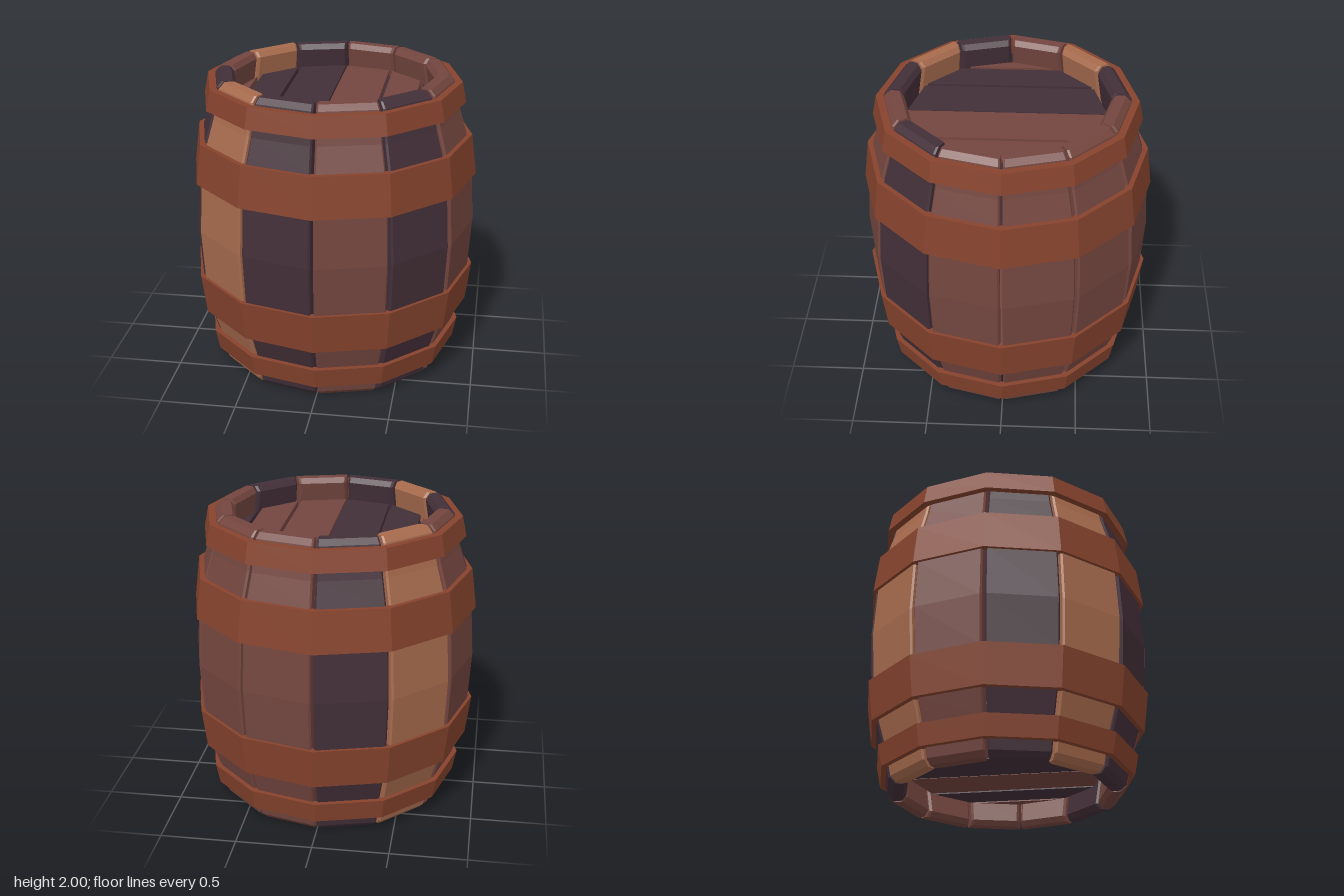
import * as THREE from 'three';

const mat = (name, color) => {
  const m = new THREE.MeshStandardMaterial({ color });
  m.name = name;
  return m;
};

// Facet a geometry so every face is flat
function faceted(geo) {
  const g = geo.index ? geo.toNonIndexed() : geo;
  g.computeVertexNormals();
  return g;
}

// Solid through a stack of equal-length cross-sections, bottom to top
function loft(rings) {
  const pos = [];
  const tri = (...pts) => pts.forEach((p) => pos.push(...p));
  const n = rings[0].length;
  for (let i = 0; i < rings.length - 1; i++) {
    for (let j = 0; j < n; j++) {
      const k = (j + 1) % n;
      const a = rings[i][j], b = rings[i][k], c = rings[i + 1][k], d = rings[i + 1][j];
      tri(a, b, d);
      tri(b, c, d);
    }
  }
  const bottom = rings[0], top = rings[rings.length - 1];
  for (let j = 1; j < n - 1; j++) {
    tri(bottom[0], bottom[j + 1], bottom[j]);
    tri(top[0], top[j], top[j + 1]);
  }
  const g = new THREE.BufferGeometry();
  g.setAttribute('position', new THREE.Float32BufferAttribute(pos, 3));
  return faceted(g);
}

const SIDES = 12;
const HALF = Math.PI / SIDES;

// Bulging stave: [height, outer corner radius, inner corner radius]
const lower = [
  [0, 0.76, 0.69], [0.035, 0.795, 0.665], [0.24, 0.84, 0.7],
  [0.4, 0.89, 0.75], [0.67, 0.935, 0.8],
];
const profile = [
  ...lower, [1, 0.955, 0.82],
  ...lower.map(([y, o, i]) => [2 - y, o, i]).reverse(),
];

function staveGeometry() {
  const gap = 0.009, c = 0.013;
  const halfWidth = (d) => d * Math.tan(HALF) - gap;
  return loft(profile.map(([y, outer, inner]) => {
    const a = outer * Math.cos(HALF), b = inner * Math.cos(HALF);
    const right = [
      [halfWidth(a) - c, a], [halfWidth(a - c), a - c],
      [halfWidth(b + c), b + c], [halfWidth(b) - c, b],
    ];
    const left = right.map(([u, d]) => [-u, d]).reverse();
    return [...right, ...left].map(([u, d]) => [u, y, d]);
  }));
}

// Closed twelve-sided band
function hoopGeometry(y0, r0, y1, r1, thick) {
  const pts = [[r0, y0], [r1, y1], [r1 - thick, y1], [r0 - thick, y0], [r0, y0]];
  return faceted(new THREE.LatheGeometry(pts.map((p) => new THREE.Vector2(...p)), SIDES));
}

// Lid plank cut from the twelve-sided disc between x0 and x1
const LID_R = 0.645;
const corner = (i) => [LID_R * Math.sin(i * 2 * HALF), LID_R * Math.cos(i * 2 * HALF)];
function lidHalfLength(x) {
  const ax = Math.abs(x);
  for (let i = 0; i < 3; i++) {
    const [xa, za] = corner(i), [xb, zb] = corner(i + 1);
    if (ax <= xb) return za + (zb - za) * (ax - xa) / (xb - xa);
  }
  return 0;
}
function plankGeometry(x0, x1, depth) {
  const z0 = lidHalfLength(x0), z1 = lidHalfLength(x1);
  const pts = [[x0, -z0], [x1, -z1], [x1, z1], [x0, z0]];
  const shape = new THREE.Shape(pts.map((p) => new THREE.Vector2(...p)));
  const g = new THREE.ExtrudeGeometry(shape, { depth, bevelEnabled: false });
  return g.rotateX(-Math.PI / 2);
}

export function createModel() {
  const brown = mat('red brown wood', 0x74463f);
  const dark = mat('dark wood', 0x432f38);
  const pale = mat('pale wood', 0xa76b4d);
  const rust = mat('rust hoop', 0x86432d);

  const barrel = new THREE.Group();
  barrel.name = 'barrel';
  const add = (name, geo, material, parent = barrel) => {
    const m = new THREE.Mesh(geo, material);
    m.name = name;
    parent.add(m);
    return m;
  };

  // Staves, counted from the front toward the left side
  const stave = staveGeometry();
  const colours = [brown, dark, brown, brown, brown, brown, dark, pale, brown, dark, pale, dark];
  colours.forEach((m, i) => {
    add('stave' + (i + 1), stave, m).rotation.y = (2 * i + 1) * HALF;
  });

  // Hoops, mirrored top and bottom
  add('upperRimHoop', hoopGeometry(1.82, 0.873, 1.955, 0.845, 0.05), rust);
  add('upperBellyHoop', hoopGeometry(1.33, 0.957, 1.6, 0.922, 0.05), rust);
  add('lowerBellyHoop', hoopGeometry(0.4, 0.922, 0.67, 0.957, 0.05), rust);
  add('lowerRimHoop', hoopGeometry(0.1, 0.845, 0.24, 0.873, 0.05), rust);

  // Lids: six planks over a thin backing that fills the seams
  function lid(name, y, backingY, backing, plankColours) {
    const g = new THREE.Group();
    g.name = name;
    const edges = [-3, -2, -1, 0, 1, 2, 3].map((i) => Math.sign(i) * corner(Math.abs(i))[0]);
    plankColours.forEach((m, i) => {
      const seam = (e) => (e === 0 ? 0.004 : Math.abs(e) > 0.6 ? 0 : 0.012);
      const x0 = edges[i] + seam(edges[i]), x1 = edges[i + 1] - seam(edges[i + 1]);
      add('lidPlank' + (i + 1), plankGeometry(x0, x1, 0.04), m, g).position.y = y;
    });
    const disc = faceted(new THREE.CylinderGeometry(0.635, 0.635, 0.012, SIDES));
    add('lidBacking', disc, backing, g).position.y = backingY;
    barrel.add(g);
  }
  lid('topLid', 1.81, 1.806, dark, [brown, dark, dark, brown, brown, dark]);
  lid('bottomLid', 0.15, 0.194, brown, [dark, brown, dark, brown, dark, brown]);

  return barrel;
}
